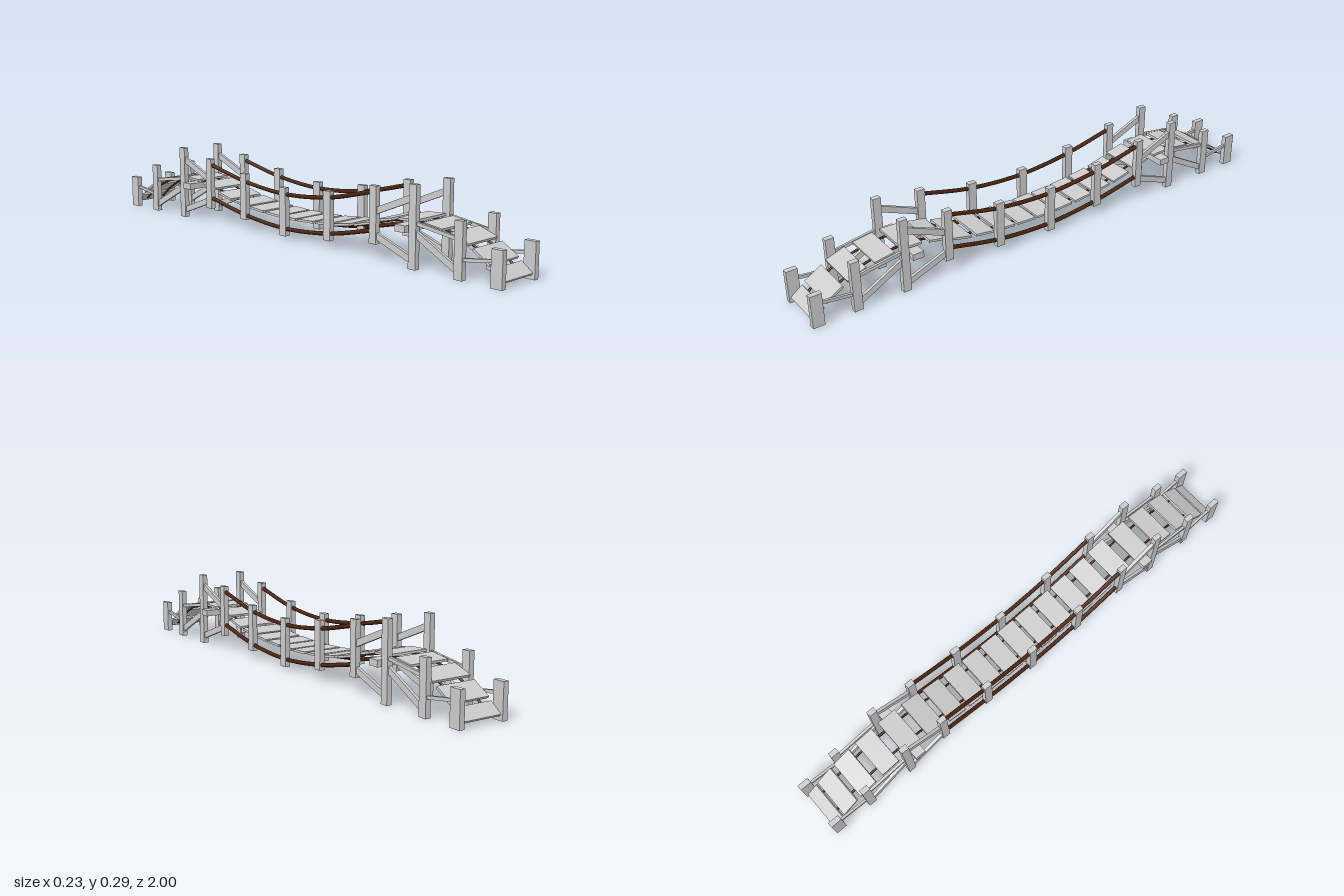
import * as THREE from 'three';

const wood = new THREE.MeshStandardMaterial({ color: 0xcccccc, flatShading: true });
const hemp = new THREE.MeshStandardMaterial({ color: 0x4a2410 });
const SIDE = 0.0915; // distance of posts and rails from the centre line

export function createModel() {
  const root = new THREE.Group();
  root.name = 'ropeBridge';

  const box = (name, w, h, d, x, y, z, tilt = 0) => {
    const mesh = new THREE.Mesh(new THREE.BoxGeometry(w, h, d), wood);
    mesh.name = name;
    mesh.position.set(x, y, z);
    mesh.rotation.x = tilt;
    root.add(mesh);
  };
  // Beam running in the side plane between two [z, y] points
  const beam = (name, x, [z0, y0], [z1, y1], w, h) => box(name, w, h, Math.hypot(z1 - z0, y1 - y0),
    x, (y0 + y1) / 2, (z0 + z1) / 2, -Math.atan2(y1 - y0, z1 - z0));
  // Rope through [z, y] points
  const rope = (name, x, points, radius) => {
    const curve = new THREE.CatmullRomCurve3(points.map(([z, y]) => new THREE.Vector3(x, y, z)));
    const mesh = new THREE.Mesh(new THREE.TubeGeometry(curve, 48, radius, 8), hemp);
    mesh.name = name;
    root.add(mesh);
  };

  // Posts: z, bottom, top, depth
  const posts = [
    [0.977, 0, 0.13, 0.045], [0.825, 0, 0.2, 0.034], [0.63, 0, 0.295, 0.032],
    [0.45, 0.06, 0.268, 0.032], [0.225, 0.035, 0.22, 0.034], [-0.012, 0.015, 0.203, 0.034],
    [-0.24, 0.045, 0.23, 0.034], [-0.455, 0.06, 0.266, 0.032],
    [-0.63, 0, 0.295, 0.032], [-0.825, 0, 0.2, 0.034], [-0.977, 0, 0.13, 0.045],
  ];
  for (const s of [-1, 1]) {
    const x = s * SIDE;
    for (const [z, y0, y1, d] of posts) box('post', 0.021, y1 - y0, d, x, (y0 + y1) / 2, z);

    // Braces and rails at each end
    for (const e of [-1, 1]) {
      beam('upperBrace', x, [e * 0.63, 0.25], [e * 0.45, 0.175], 0.012, 0.024);
      beam('lowerBrace', x, [e * 0.63, 0.028], [e * 0.45, 0.095], 0.012, 0.024);
      beam('rampBrace', x, [e * 0.825, 0.025], [e * 0.63, 0.13], 0.012, 0.024);
      beam('rampRail', x, [e * 0.825, 0.135], [e * 0.63, 0.163], 0.01, 0.013);
      beam('endRail', x, [e * 0.977, 0.09], [e * 0.825, 0.068], 0.01, 0.012);
    }

    // Sagging side ropes
    rope('handRope', x, [[0.45, 0.247], [0.225, 0.195], [-0.012, 0.177], [-0.24, 0.198], [-0.455, 0.243]], 0.008);
    rope('footRope', x, [[0.45, 0.108], [0.225, 0.06], [-0.012, 0.043], [-0.24, 0.063], [-0.455, 0.105]], 0.008);
  }

  // Cross beams under the crests
  for (const e of [-1, 1]) box('crossBeam', 0.228, 0.025, 0.045, 0, 0.138, e * 0.585);

  // Deck line, from the middle to one end, mirrored to the other
  const half = [[0.09, 0.084], [0.185, 0.09], [0.28, 0.1], [0.38, 0.118], [0.48, 0.148],
    [0.59, 0.164], [0.7, 0.157], [0.81, 0.132], [0.9, 0.087], [0.967, 0.037]];
  const line = [...half.map(([z, y]) => [-z, y]).reverse(), [0, 0.082], ...half];
  line.forEach(([z, y], i) => {
    const a = line[Math.max(i - 1, 0)];
    const b = line[Math.min(i + 1, line.length - 1)];
    const slope = Math.atan2(b[1] - a[1], b[0] - a[0]);
    const depth = Math.abs(z) > 0.95 ? 0.058 : 0.08;
    box('plank', 0.162, 0.009, depth, 0, y, z, -slope);
  });

  // Ropes carrying the planks
  for (const s of [-1, 1]) {
    rope('deckRope', s * 0.043, line.map(([z, y]) => [z, y - 0.007]), 0.0045);
  }
  return root;
}
